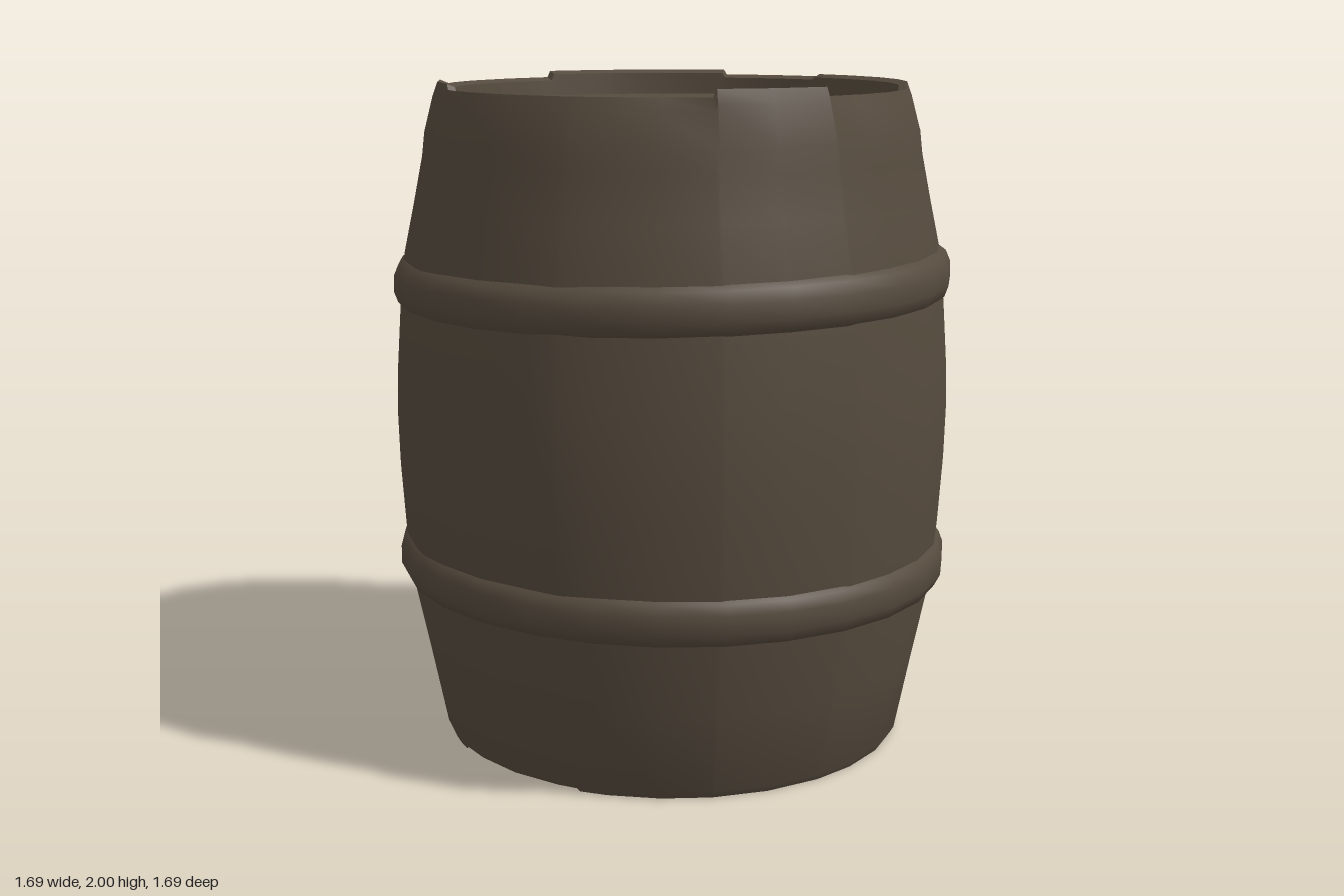
import * as THREE from 'three';
import { toCreasedNormals } from 'three/addons/utils/BufferGeometryUtils.js';

const SIDES = 28;
const STEP = 360 / SIDES;

// Worn rim: [start angle in degrees, lip height], each running to the next start
const TOP_CHIPS = [[12, 2], [40, 1.975], [90, 1.992], [140, 1.985], [168, 2], [218, 1.98], [270, 1.995], [296, 1.978]];
const BOTTOM_CHIPS = [[90, 0.03], [115, 0.015], [142, 0], [200, 0.01], [250, 0], [300, 0.008], [340, 0]];

function chipHeight(chips, angle) {
  let height = chips[chips.length - 1][1];
  for (const [start, h] of chips) if (angle >= start) height = h;
  return height;
}

// Regular columns, with a tight pair of columns at each chip so its edge is sharp
function columnAngles() {
  const cuts = [...TOP_CHIPS, ...BOTTOM_CHIPS].map(([a]) => a);
  const angles = [0, 360];
  for (let i = 1; i < SIDES; i++) {
    if (cuts.every((c) => Math.abs(c - i * STEP) > 2)) angles.push(i * STEP);
  }
  for (const c of new Set(cuts)) angles.push(c - 0.4, c + 0.4);
  return angles.sort((a, b) => a - b);
}

function toPoints(list) {
  return list.map(([r, y]) => new THREE.Vector2(r, y));
}

// Staved shell: lathe whose columns are re-spaced and whose lips are chipped
function shellGeometry() {
  const profile = [
    [0.67, 0.08], [0.675, 0.012], [0.7, 0], [0.712, 0.02], [0.76, 0.26], [0.81, 0.5],
    [0.825, 0.65], [0.838, 0.85], [0.842, 1], [0.838, 1.15], [0.825, 1.34], [0.81, 1.49],
    [0.778, 1.64], [0.75, 1.78], [0.742, 1.85], [0.715, 1.96], [0.7, 2], [0.675, 1.99], [0.67, 1.92],
  ];
  const angles = columnAngles();
  const geometry = new THREE.LatheGeometry(toPoints(profile), angles.length - 1);
  const pos = geometry.attributes.position;
  angles.forEach((angle, i) => {
    const a = THREE.MathUtils.degToRad(angle % 360);
    const topDrop = chipHeight(TOP_CHIPS, angle) - 2;
    const bottomRise = chipHeight(BOTTOM_CHIPS, angle);
    profile.forEach(([r, y], j) => {
      const shift = y > 1.95 ? topDrop : y < 0.05 ? bottomRise : 0;
      pos.setXYZ(i * profile.length + j, r * Math.sin(a), y + shift, r * Math.cos(a));
    });
  });
  return toCreasedNormals(geometry, 0.7);
}

// Rounded hoop, slightly tilted across x
function hoopGeometry(profile, tilt) {
  const geometry = new THREE.LatheGeometry(toPoints(profile), SIDES);
  const pos = geometry.attributes.position;
  for (let i = 0; i < pos.count; i++) pos.setY(i, pos.getY(i) + tilt * pos.getX(i));
  return toCreasedNormals(geometry, 1.2);
}

export function createModel() {
  const barrel = new THREE.Group();
  barrel.name = 'barrel';
  const wood = new THREE.MeshStandardMaterial({ color: 0x564b3e });
  wood.name = 'dark brown wood';

  function add(name, geometry) {
    const mesh = new THREE.Mesh(geometry, wood);
    mesh.name = name;
    barrel.add(mesh);
    return mesh;
  }

  add('shell', shellGeometry());

  // Hoops
  add('lowerHoop', hoopGeometry(
    [[0.8, 0.485], [0.825, 0.495], [0.843, 0.53], [0.843, 0.585], [0.832, 0.615], [0.815, 0.63]], -0.01));
  add('upperHoop', hoopGeometry(
    [[0.815, 1.345], [0.832, 1.36], [0.843, 1.39], [0.843, 1.44], [0.828, 1.475], [0.8, 1.495]], 0.018));

  // Recessed lid and base
  const lid = add('lid', new THREE.CircleGeometry(0.672, SIDES));
  lid.rotation.x = -Math.PI / 2;
  lid.position.y = 1.922;
  const base = add('base', new THREE.CircleGeometry(0.672, SIDES));
  base.rotation.x = Math.PI / 2;
  base.position.y = 0.078;

  return barrel;
}
